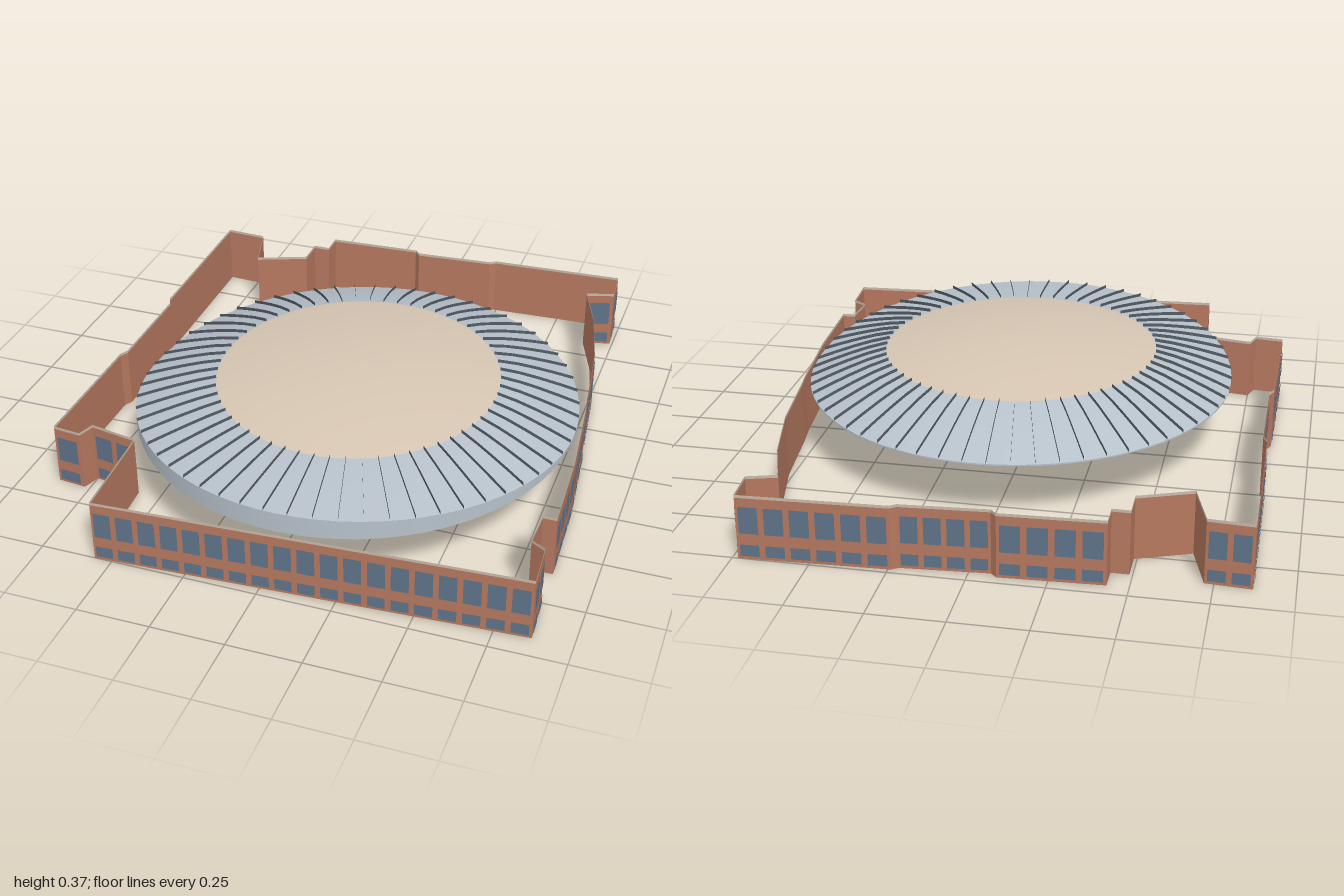
import * as THREE from 'three';

const material = (name, color) =>
  new THREE.MeshStandardMaterial({ name, color, side: THREE.DoubleSide });

const WALL_HEIGHT = 0.222, COPING = 0.01;

// Wall plan, anticlockwise seen from above: x, z, and whether the bay starting here has windows
const PLAN = [
  [-0.56, 1.0, 1], [0.87, 0.92, 1], [0.86, 0.76, 0], [0.81, 0.73, 0],
  [0.815, 0.6, 0], [0.86, 0.6, 1], [0.845, 0.28, 1], [0.81, -0.05, 0],
  [0.8, -0.11, 1], [0.765, -0.4, 1], [0.705, -0.66, 1], [0.64, -0.84, 1],
  [0.74, -0.87, 1], [0.73, -1.0, 1], [0.24, -0.98, 0], [0.22, -0.965, 1],
  [-0.07, -0.945, 0], [-0.09, -0.965, 1], [-0.43, -0.95, 0], [-0.43, -0.87, 0],
  [-0.49, -0.87, 0], [-0.49, -0.77, 0], [-0.67, -0.7, 0], [-0.72, -0.88, 1],
  [-0.87, -0.89, 1], [-0.865, -0.28, 0], [-0.85, -0.25, 1], [-0.85, 0.12, 0],
  [-0.865, 0.15, 1], [-0.87, 0.65, 1], [-0.77, 0.66, 0], [-0.75, 0.6, 1], [-0.58, 0.63, 0],
];

// Roof height: shallow dome whose rim rises towards the front
const CX = 0.05, CZ = 0.15, RX = 0.76, RZ = 0.795, INNER = 0.64, SEGMENTS = 72;
const rimHeight = (z) => 0.225 + 0.065 * THREE.MathUtils.clamp((z - 0.1) / 0.84, 0, 1);

function roofPoint(t, angle, lift = 0) {
  const x = CX + RX * t * Math.cos(angle);
  const z = CZ + RZ * t * Math.sin(angle);
  let y = 0.37 - 0.048 * Math.pow(t / INNER, 2);
  if (t > INNER) {
    const rim = rimHeight(CZ + RZ * Math.sin(angle));
    y = 0.322 + (rim - 0.322) * Math.pow((t - INNER) / (1 - INNER), 1.2);
  }
  return [x, y + lift, z];
}

// Joins rows of points into one surface; each row is a function of the step along it
function loft(rows, steps) {
  const positions = [], index = [];
  rows.forEach((row, r) => {
    for (let i = 0; i <= steps; i++) {
      positions.push(...row(i / steps));
      if (r < rows.length - 1 && i < steps) {
        const a = r * (steps + 1) + i, b = a + steps + 1;
        index.push(a, a + 1, b, a + 1, b + 1, b);
      }
    }
  });
  const geometry = new THREE.BufferGeometry();
  geometry.setAttribute('position', new THREE.Float32BufferAttribute(positions, 3));
  geometry.setIndex(index);
  geometry.computeVertexNormals();
  return geometry;
}

export function createModel() {
  const brick = material('brick', 0xb5785f);
  const glass = material('window glass', 0x5f7389);
  const stone = material('coping stone', 0xc9b9a8);
  const metal = material('roof metal', 0xb7c1ca);
  const tan = material('tan roof', 0xd6c5b2);
  const dark = material('rib metal', 0x535c66);

  const model = new THREE.Group();
  model.name = 'arena';
  const add = (parent, name, geometry, mat, x = 0, y = 0, z = 0) => {
    const mesh = new THREE.Mesh(geometry, mat);
    mesh.name = name;
    mesh.position.set(x, y, z);
    parent.add(mesh);
  };

  // Perimeter wall, one bay per plan edge
  const walls = new THREE.Group();
  walls.name = 'perimeterWall';
  model.add(walls);
  PLAN.forEach(([x0, z0, hasWindows], i) => {
    const [x1, z1] = PLAN[(i + 1) % PLAN.length];
    const dx = x1 - x0, dz = z1 - z0, length = Math.hypot(dx, dz);
    const bay = new THREE.Group();
    bay.name = 'wallBay';
    bay.position.set((x0 + x1) / 2, 0, (z0 + z1) / 2);
    bay.rotation.y = Math.atan2(-dz, dx);
    walls.add(bay);

    const brickHeight = WALL_HEIGHT - COPING;
    add(bay, 'brickWall', new THREE.PlaneGeometry(length, brickHeight), brick, 0, brickHeight / 2);
    add(bay, 'coping', new THREE.PlaneGeometry(length, COPING), stone, 0, WALL_HEIGHT - COPING / 2);
    if (!hasWindows) return;

    // Tall upper windows above short lower ones
    const count = Math.max(1, Math.round(length / 0.077)), pitch = length / count;
    for (let w = 0; w < count; w++) {
      const x = (w + 0.5) * pitch - length / 2;
      add(bay, 'upperWindow', new THREE.PlaneGeometry(pitch * 0.76, 0.093), glass, x, 0.136, 0.003);
      add(bay, 'lowerWindow', new THREE.PlaneGeometry(pitch * 0.76, 0.04), glass, x, 0.031, 0.003);
    }
  });

  // Roof: tan centre, metal ring and a skirt below the raised front rim
  const roof = new THREE.Group();
  roof.name = 'roof';
  model.add(roof);
  const ring = (t) => (s) => roofPoint(t, s * Math.PI * 2);
  add(roof, 'roofCentre', loft([0.001, 0.13, 0.25, 0.38, 0.51, INNER].map(ring), SEGMENTS), tan);
  add(roof, 'roofRing', loft([INNER, 0.73, 0.82, 0.91, 1].map(ring), SEGMENTS), metal);
  const skirtFoot = (s) => {
    const [x, , z] = roofPoint(1, s * Math.PI * 2);
    return [x, 0.22, z];
  };
  add(roof, 'roofSkirt', loft([ring(1), skirtFoot], SEGMENTS), metal);

  // Upright radial fins on the metal ring
  const FINS = 60;
  for (let i = 0; i < FINS; i++) {
    const angle = ((i + 0.5) / FINS) * Math.PI * 2;
    const edge = (lift) => (s) => roofPoint(INNER + (1 - INNER) * s, angle, lift);
    add(roof, 'roofFin', loft([edge(0), edge(0.012)], 4), dark);
  }
  return model;
}
